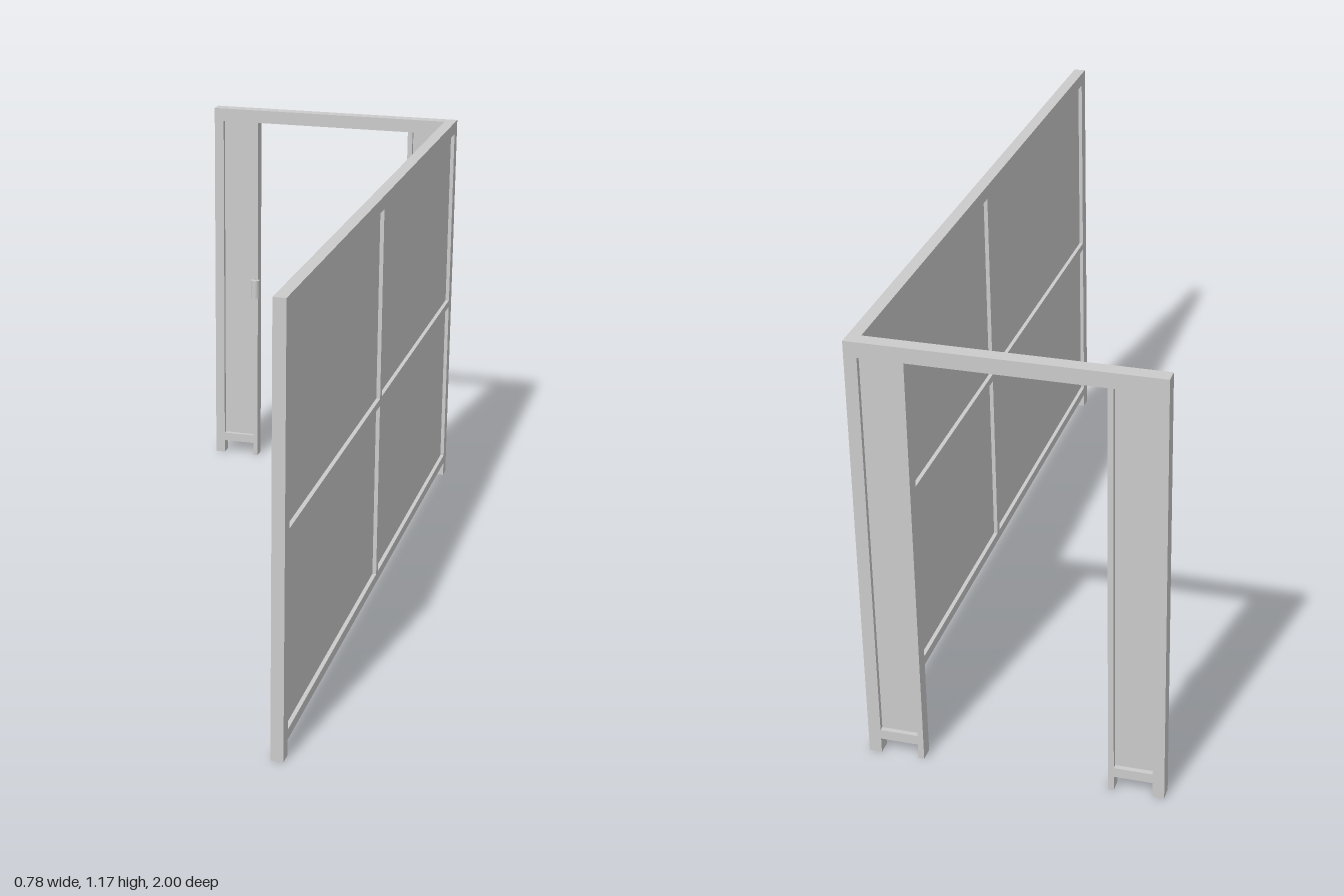
import * as THREE from 'three';

export function createModel() {
  const model = new THREE.Group();
  const material = new THREE.MeshStandardMaterial({ color: 0xcccccc, flatShading: true });

  // Box given by its limits on each axis
  function box(parent, name, [x0, x1], [y0, y1], [z0, z1]) {
    const mesh = new THREE.Mesh(new THREE.BoxGeometry(x1 - x0, y1 - y0, z1 - z0), material);
    mesh.position.set((x0 + x1) / 2, (y0 + y1) / 2, (z0 + z1) / 2);
    mesh.name = name;
    parent.add(mesh);
  }

  const top = 1.175;
  const bottomRail = [0.042, 0.069];

  // Long side wall: posts, rails and four recessed panels
  const wall = new THREE.Group();
  wall.name = 'sideWall';
  model.add(wall);
  const wallX = [0.357, 0.39];
  const panelX = [0.368, 0.379];
  const span = [-0.962, 0.962];
  box(wall, 'frontPost', wallX, [0, top], [0.962, 1]);
  box(wall, 'cornerPost', wallX, [0, top], [-1, -0.962]);
  box(wall, 'topRail', wallX, [1.138, top], span);
  box(wall, 'middleRail', wallX, [0.578, 0.599], span);
  box(wall, 'bottomRail', wallX, bottomRail, span);
  for (const y of [[0.069, 0.578], [0.599, 1.138]]) {
    box(wall, 'middlePost', wallX, y, [-0.006, 0.014]);
    for (const z of [[-0.962, -0.006], [0.014, 0.962]]) box(wall, 'wallPanel', panelX, y, z);
  }

  // Door frame across the back, with a narrow panel on each side of the opening
  const doorway = new THREE.Group();
  doorway.name = 'doorway';
  model.add(doorway);
  const frameZ = [-1, -0.962];
  const panelZ = [-0.987, -0.975];
  box(doorway, 'lintel', [-0.39, 0.357], [1.135, top], frameZ);
  box(doorway, 'outerPost', [-0.39, -0.36], [0, 1.135], frameZ);
  for (const [jamb, panel] of [
    [[-0.26, -0.245], [-0.36, -0.26]],
    [[0.242, 0.257], [0.257, 0.357]],
  ]) {
    box(doorway, 'jamb', jamb, [0, 1.135], frameZ);
    box(doorway, 'lowerRail', panel, bottomRail, frameZ);
    box(doorway, 'sidePanel', panel, [0.069, 1.135], panelZ);
  }

  // Small rounded catch on the inside of the jamb
  const catchMesh = new THREE.Mesh(new THREE.CylinderGeometry(0.014, 0.014, 0.06, 20), material);
  catchMesh.position.set(-0.254, 0.583, -0.962);
  catchMesh.name = 'doorCatch';
  catchMesh.material = new THREE.MeshStandardMaterial({ color: 0xcccccc });
  doorway.add(catchMesh);

  return model;
}
